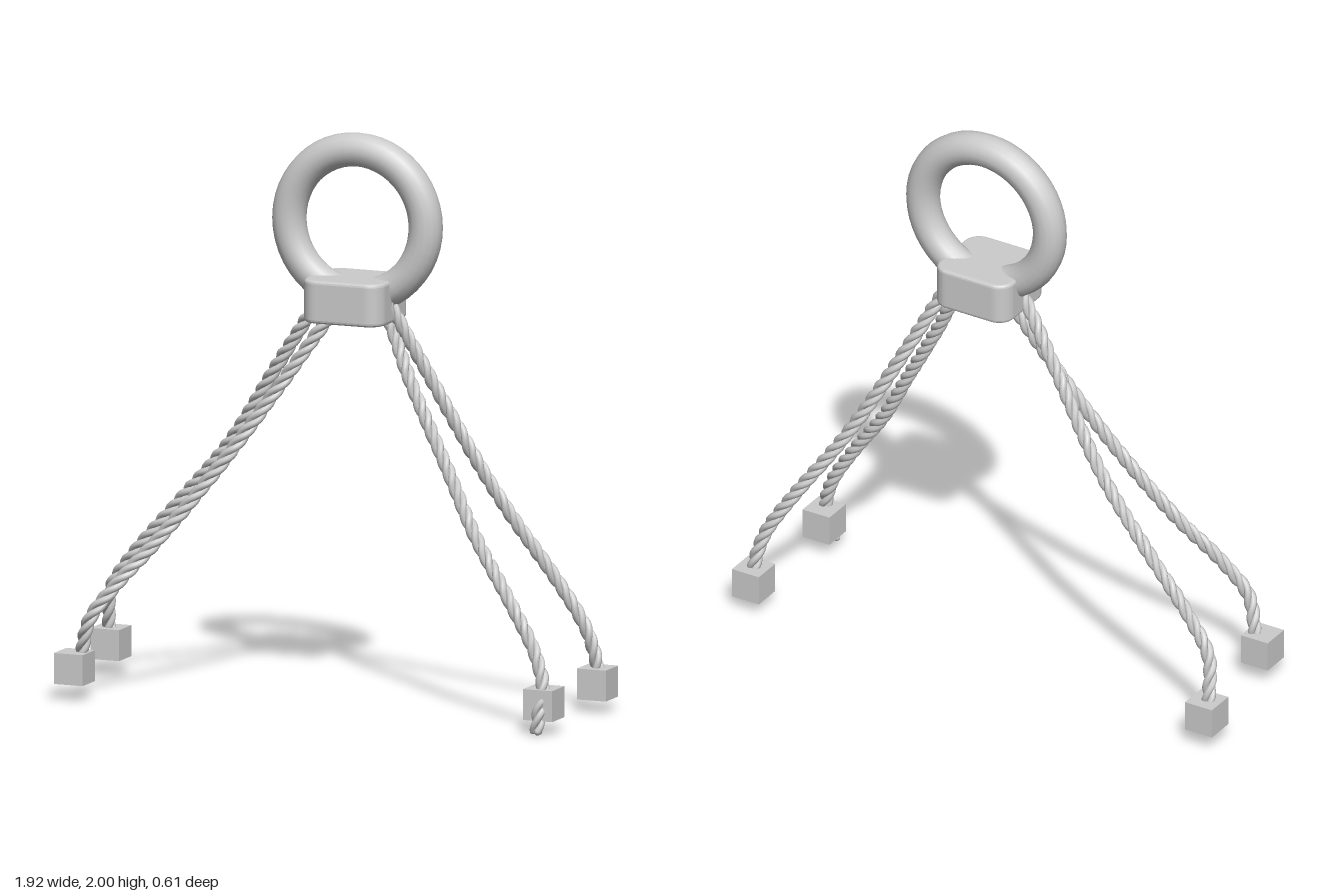
import * as THREE from 'three';

const material = new THREE.MeshStandardMaterial({ color: 0xcccccc });

function addMesh(parent, name, geometry, x = 0, y = 0, z = 0) {
  const mesh = new THREE.Mesh(geometry, material);
  mesh.name = name;
  mesh.position.set(x, y, z);
  parent.add(mesh);
  return mesh;
}

// Three strands wound in a right-handed helix around a centre line
function makeRope(name, points) {
  const rope = new THREE.Group();
  rope.name = name;
  const path = new THREE.CatmullRomCurve3(points.map(p => new THREE.Vector3(...p)));
  const pitch = 0.16, offset = 0.0125, strandRadius = 0.0125;
  const turns = path.getLength() / pitch;
  const steps = Math.round(turns * 12);
  const frames = path.computeFrenetFrames(steps);
  for (let s = 0; s < 3; s++) {
    const strand = [];
    for (let i = 0; i <= steps; i++) {
      const a = Math.PI * 2 * (turns * i / steps + s / 3);
      strand.push(path.getPointAt(i / steps)
        .addScaledVector(frames.normals[i], Math.cos(a) * offset)
        .addScaledVector(frames.binormals[i], Math.sin(a) * offset));
    }
    const curve = new THREE.CatmullRomCurve3(strand);
    addMesh(rope, 'strand', new THREE.TubeGeometry(curve, steps * 2, strandRadius, 8));
    const end = strand[steps];
    addMesh(rope, 'strandTip', new THREE.SphereGeometry(strandRadius, 8, 6), end.x, end.y, end.z);
  }
  return rope;
}

// Block with rounded upright corners and a small bevel on its rims
function makeCollarGeometry(width, height, depth, radius, bevel) {
  const w = width / 2 - bevel, d = depth / 2 - bevel;
  const r = radius - bevel;
  const shape = new THREE.Shape();
  shape.absarc(w - r, d - r, r, 0, Math.PI / 2);
  shape.absarc(r - w, d - r, r, Math.PI / 2, Math.PI);
  shape.absarc(r - w, r - d, r, Math.PI, Math.PI * 1.5);
  shape.absarc(w - r, r - d, r, Math.PI * 1.5, Math.PI * 2);
  const geometry = new THREE.ExtrudeGeometry(shape, {
    depth: height - 2 * bevel, bevelThickness: bevel, bevelSize: bevel,
    bevelSegments: 3, curveSegments: 6,
  });
  geometry.translate(0, 0, bevel - height / 2);
  geometry.rotateX(-Math.PI / 2);
  return geometry;
}

export function createModel() {
  const model = new THREE.Group();
  model.name = 'ropeHanger';

  // Ring and the collar that clamps it
  addMesh(model, 'ring', new THREE.TorusGeometry(0.255, 0.059, 16, 48), 0.103, 1.686, -0.032);
  addMesh(model, 'collar', makeCollarGeometry(0.3, 0.15, 0.283, 0.06, 0.012), 0.098, 1.425, -0.022);

  // Four ropes, from the collar down to their end blocks
  const legs = [
    { name: 'backRight', block: [-0.908, 0.115, -0.238], path: [
      [0.0, 1.46, -0.02], [-0.058, 1.38, -0.03], [-0.206, 1.175, -0.075], [-0.42, 0.865, -0.132],
      [-0.63, 0.63, -0.165], [-0.8, 0.44, -0.18], [-0.89, 0.31, -0.195], [-0.912, 0.19, -0.23], [-0.91, 0.1, -0.238]] },
    { name: 'frontRight', block: [-0.833, 0.115, 0.252], path: [
      [0.05, 1.42, -0.035], [-0.005, 1.345, -0.025], [-0.18, 1.087, 0.02], [-0.365, 0.82, 0.085],
      [-0.55, 0.574, 0.165], [-0.68, 0.415, 0.235], [-0.77, 0.29, 0.265], [-0.805, 0.18, 0.245], [-0.81, 0.1, 0.24]] },
    { name: 'backLeft', block: [0.905, 0.102, -0.253], path: [
      [0.2, 1.47, 0.0], [0.245, 1.39, -0.015], [0.34, 1.2, -0.055], [0.515, 0.86, -0.125],
      [0.62, 0.68, -0.165], [0.775, 0.45, -0.213], [0.87, 0.29, -0.235], [0.905, 0.16, -0.25], [0.905, 0.09, -0.253]] },
    { name: 'frontLeft', block: [0.905, 0.108, 0.212], path: [
      [0.17, 1.44, -0.05], [0.215, 1.36, -0.04], [0.315, 1.17, 0.015], [0.5, 0.85, 0.085],
      [0.61, 0.66, 0.13], [0.77, 0.44, 0.185], [0.87, 0.28, 0.21], [0.912, 0.16, 0.235], [0.907, 0.08, 0.26], [0.9, 0.018, 0.264]] },
  ];
  for (const { name, block, path } of legs) {
    model.add(makeRope(name + 'Rope', path));
    addMesh(model, name + 'EndBlock', new THREE.BoxGeometry(0.108, 0.108, 0.108), ...block);
  }
  return model;
}
